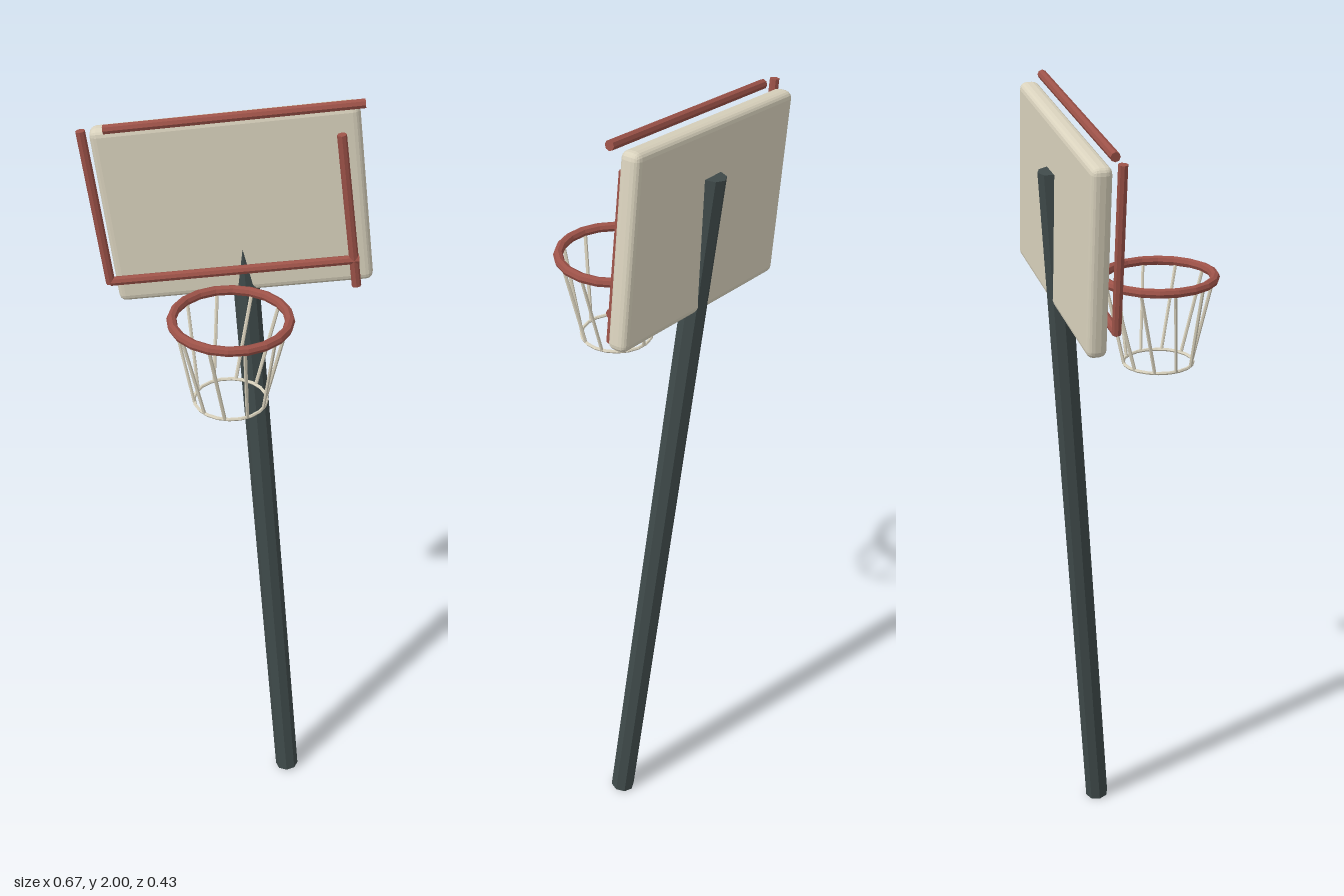
import * as THREE from 'three';
import { RoundedBoxGeometry } from 'three/addons/geometries/RoundedBoxGeometry.js';

const material = (name, color) => {
  const m = new THREE.MeshStandardMaterial({ color, flatShading: true });
  m.name = name;
  return m;
};

// Straight rod between two points
function rod(name, a, b, radius, sides, mat) {
  const from = new THREE.Vector3(...a);
  const to = new THREE.Vector3(...b);
  const dir = to.clone().sub(from);
  const mesh = new THREE.Mesh(new THREE.CylinderGeometry(radius, radius, dir.length(), sides), mat);
  mesh.position.copy(from).add(to).multiplyScalar(0.5);
  mesh.quaternion.setFromUnitVectors(new THREE.Vector3(0, 1, 0), dir.normalize());
  mesh.name = name;
  return mesh;
}

// Horizontal ring
function ring(name, radius, tube, sides, segments, y, mat) {
  const mesh = new THREE.Mesh(new THREE.TorusGeometry(radius, tube, sides, segments), mat);
  mesh.rotation.x = Math.PI / 2;
  mesh.position.y = y;
  mesh.name = name;
  return mesh;
}

export function createModel() {
  const cream = material('cream', 0xd9d2bd);
  const red = material('rust red', 0x9c5248);
  const dark = material('dark slate', 0x3f4a4a);

  const model = new THREE.Group();
  model.name = 'basketballHoop';

  // Leaning pole, its top passing into the board
  model.add(rod('pole', [0.173, 0.004, -0.05], [0.013, 1.829, -0.187], 0.031, 8, dark));

  // Tilted backboard with softened edges
  const board = new THREE.Mesh(new RoundedBoxGeometry(0.6, 0.434, 0.047, 2, 0.017), cream);
  board.position.set(0.012, 1.727, -0.164);
  board.rotation.z = 0.125;
  board.name = 'backboard';
  model.add(board);

  // Loose trim bars in front of the board
  const trim = new THREE.Group();
  trim.name = 'boardTrim';
  const bars = {
    leftTrim: [0.246, 1.916, 0.297, 1.543],
    rightTrim: [-0.326, 1.914, -0.276, 1.536],
    topTrim: [-0.276, 1.918, 0.294, 1.989],
    bottomTrim: [-0.276, 1.54, 0.3, 1.612],
  };
  for (const [name, [x1, y1, x2, y2]] of Object.entries(bars)) {
    trim.add(rod(name, [x1, y1, -0.127], [x2, y2, -0.127], 0.011, 8, red));
  }
  model.add(trim);

  // Hoop and net
  const hoop = new THREE.Group();
  hoop.name = 'hoop';
  hoop.position.set(0.012, 0, 0.069);
  hoop.add(ring('rim', 0.132, 0.0115, 8, 20, 1.561, red));
  hoop.add(ring('netBottomRing', 0.084, 0.004, 6, 20, 1.35, cream));
  const strands = 10;
  for (let i = 0; i < strands; i++) {
    const top = (i / strands) * Math.PI * 2 - 0.03;
    const low = top + 0.23;
    hoop.add(rod('netStrand',
      [0.128 * Math.cos(top), 1.558, -0.128 * Math.sin(top)],
      [0.084 * Math.cos(low), 1.35, -0.084 * Math.sin(low)], 0.0042, 6, cream));
  }
  model.add(hoop);

  return model;
}
